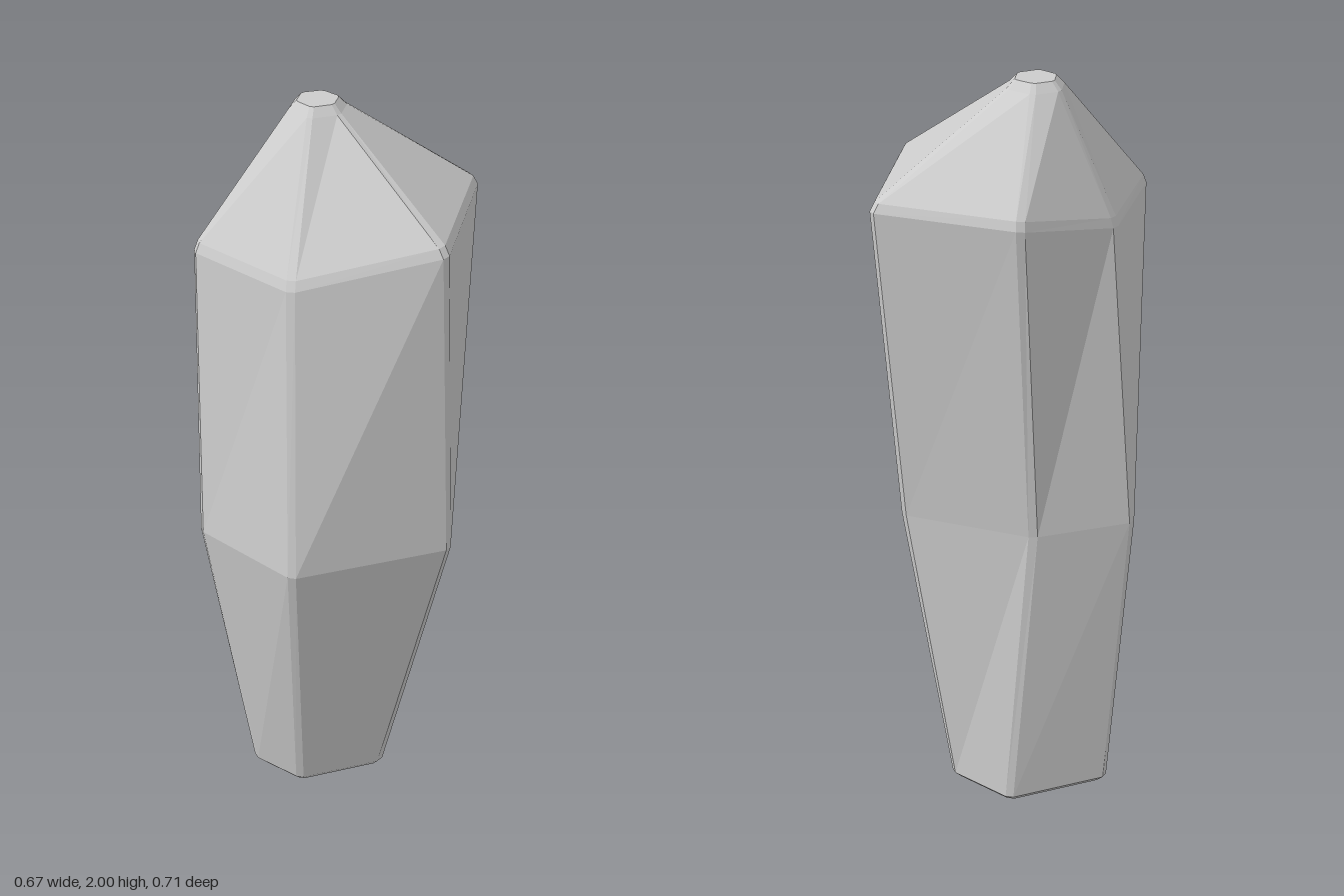
import * as THREE from 'three';

const V = (x, y, z) => new THREE.Vector3(x, y, z);
const SPLIT = 0.012; // half width of the bevel along the long edges

// Six-sided cross-sections, each corner [x, y, z], running front -> left -> back -> right
const ring = (pts) => pts.map((p) => V(...p));
const foot = ring([[-0.07, 0.02, 0.165], [0.145, 0.02, 0.04], [0.145, 0.02, -0.215],
  [-0.03, 0.02, -0.305], [-0.29, 0.02, -0.18], [-0.22, 0.02, 0.11]]);
const waist = ring([[-0.03, 0.91, 0.36], [0.335, 0.91, 0.145], [0.26, 0.87, -0.215],
  [-0.09, 0.88, -0.295], [-0.337, 0.88, -0.19], [-0.313, 0.91, 0.215]]);
const shoulder = ring([[-0.05, 1.67, 0.25], [0.295, 1.745, 0.135], [0.295, 1.745, -0.29],
  [-0.065, 1.745, -0.36], [-0.265, 1.68, -0.15], [-0.32, 1.69, 0.137]]);
const crown = ring([[-0.065, 1.98, 0], [0, 1.98, -0.04], [0, 1.98, -0.115],
  [-0.065, 1.98, -0.15], [-0.127, 1.98, -0.115], [-0.127, 1.98, -0.04]]);

const blend = (a, b, t) => a.map((p, i) => p.clone().lerp(b[i], t));

const centre = (r) => r.reduce((s, p) => s.add(p), V(0, 0, 0)).divideScalar(r.length);

// Shrinks a ring about its centre and sets it at a new height
function inset(r, scale, y) {
  const c = centre(r);
  return r.map((p) => p.clone().sub(c).multiplyScalar(scale).add(c).setY(y));
}

// Cuts every corner into two points to bevel the edge running through it
function bevel(r, d = SPLIT) {
  const n = r.length;
  return r.flatMap((p, i) => [r[(i + n - 1) % n], r[(i + 1) % n]].map((q) =>
    p.clone().add(q.clone().sub(p).setLength(d))));
}

// Skins the stacked rings and closes both ends
function skin(rings) {
  const pos = [];
  const tri = (...ps) => ps.forEach((p) => pos.push(p.x, p.y, p.z));
  const n = rings[0].length;
  for (let k = 0; k < rings.length - 1; k++) {
    const lo = rings[k], hi = rings[k + 1];
    for (let i = 0; i < n; i++) {
      const j = (i + 1) % n;
      tri(lo[i], lo[j], hi[j]);
      tri(lo[i], hi[j], hi[i]);
    }
  }
  const base = rings[0], top = rings[rings.length - 1];
  const cb = centre(base), ct = centre(top);
  for (let i = 0; i < n; i++) {
    const j = (i + 1) % n;
    tri(cb, base[j], base[i]);
    tri(ct, top[i], top[j]);
  }
  const geo = new THREE.BufferGeometry();
  geo.setAttribute('position', new THREE.Float32BufferAttribute(pos, 3));
  geo.computeVertexNormals();
  return geo;
}

export function createModel() {
  const group = new THREE.Group();
  group.name = 'crystal';

  const rings = [
    bevel(inset(foot, 0.93, 0.005)),          // underside
    bevel(foot),
    bevel(waist),
    bevel(blend(shoulder, waist, 0.015)),     // shoulder bevel, lower edge
    bevel(blend(shoulder, crown, 0.04)),      // shoulder bevel, upper edge
    bevel(crown, 0.008),
    bevel(inset(crown, 0.72, 2), 0.006),      // flat tip
  ];
  rings[0].forEach((p) => p.setY(0));

  const material = new THREE.MeshStandardMaterial({ color: 0xcccccc, flatShading: true });
  const shard = new THREE.Mesh(skin(rings), material);
  shard.name = 'crystalShard';
  group.add(shard);
  return group;
}
